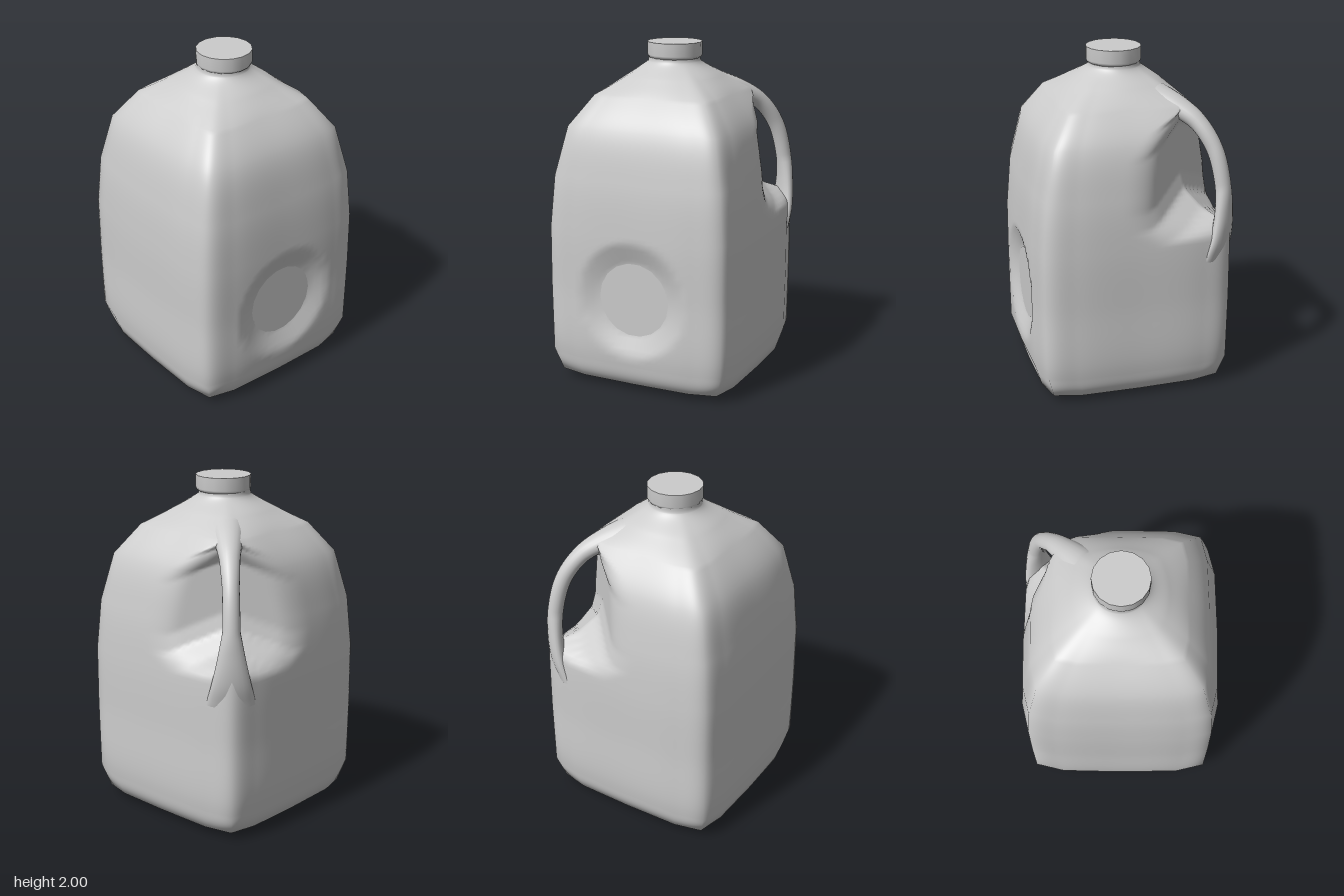
import * as THREE from 'three';

const S = Math.SQRT1_2;
const grey = () => new THREE.MeshStandardMaterial({ color: 0xcccccc });
const vec = ([x, y]) => new THREE.Vector3(x, y, 0);

// Skin a list of closed rings (arrays of Vector3) with smooth normals
function loft(rings) {
  const n = rings[0].length, pos = [], index = [];
  rings.forEach(r => r.forEach(v => pos.push(v.x, v.y, v.z)));
  for (let i = 0; i < rings.length - 1; i++) {
    for (let j = 0; j < n; j++) {
      const a = i * n + j, b = i * n + (j + 1) % n;
      index.push(a, a + n, b, b, a + n, b + n);
    }
  }
  const g = new THREE.BufferGeometry();
  g.setAttribute('position', new THREE.Float32BufferAttribute(pos, 3));
  g.setIndex(index);
  g.computeVertexNormals();
  return g;
}

// Subdivide each span of a point list, either straight or curved
function subdivide(pts, per, closed, curved) {
  const spans = closed ? pts.length : pts.length - 1;
  const curve = new THREE.CatmullRomCurve3(pts, closed);
  return Array.from({ length: spans * per + (closed ? 0 : 1) }, (_, i) => {
    if (curved) return curve.getPoint(i / (spans * per));
    const k = Math.floor(i / per);
    return pts[k].clone().lerp(pts[(k + 1) % pts.length], (i % per) / per);
  });
}

// Piecewise linear lookup in [key, value] pairs
function lookup(table, k) {
  if (k <= table[0][0]) return table[0][1];
  for (let i = 1; i < table.length; i++) {
    const [k0, v0] = table[i - 1], [k1, v1] = table[i];
    if (k <= k1) return v0 + (v1 - v0) * (k - k0) / (k1 - k0);
  }
  return table[table.length - 1][1];
}

// Smooth minimum
function softMin(a, b, k) {
  const h = Math.max(k - Math.abs(a - b), 0) / k;
  return Math.min(a, b) - h * h * k / 4;
}

// Greatest reach of the body towards the handle corner, by height
const GRIP = [[0.92, 1.0], [1.0, 0.84], [1.06, 0.7], [1.1, 0.59], [1.2, 0.47],
  [1.3, 0.44], [1.6, 0.43], [1.7, 0.48], [1.77, 0.75]];
const DISC = { y: 0.565, r: 0.22, x: 0.55 };

// Half width against height
const PROFILE = [[0.001, 0], [0.37, 0], [0.55, 0.042], [0.593, 0.18], [0.597, 0.6], [0.595, 0.95],
  [0.571, 1.25], [0.506, 1.535], [0.38, 1.71], [0.27, 1.802], [0.155, 1.885], [0.148, 1.93]].map(vec);

function bodyRings(curved) {
  // Rounded-square section with bevelled corners
  const corner = [[1, 0], [0.988, 0.62], [0.917, 0.917], [0.62, 0.988]];
  const pts = [];
  for (let q = 0; q < 4; q++) {
    for (const [x, z] of corner) {
      let p = [x, z];
      for (let k = 0; k < q; k++) p = [-p[1], p[0]];
      pts.push(new THREE.Vector3(p[0], 0, p[1]));
    }
  }
  const section = subdivide(pts, 10, true, curved);
  return subdivide(PROFILE, 14, false, curved).map(({ x: w, y }) => {
    const round = lookup([[1.71, 0], [1.885, 1]], y);
    return section.map(s => {
      const v = s.clone().lerp(s.clone().normalize(), round).multiplyScalar(w);
      v.y = y;
      // Hollow behind the handle, its floor falling away to both sides
      const d = -(v.x + v.z) * S, p = Math.abs(v.x - v.z) * S;
      if (d > 0.2) {
        const cut = d - softMin(d, lookup(GRIP, y + 0.4 * Math.min(p, 0.35)), 0.1);
        v.x += cut * S;
        v.z += cut * S;
      }
      // Round recess in the left side
      const r = Math.hypot(v.z, y - DISC.y);
      if (v.x > 0.4 && r < 0.38) {
        v.x = Math.min(v.x, lookup([[DISC.r, DISC.x - 0.002], [0.36, 0.6]], r));
      }
      return v;
    });
  });
}

// Straight spans in outline, shaded with the normals of the curved form
function bodyGeometry() {
  const g = loft(bodyRings(false));
  g.setAttribute('normal', loft(bodyRings(true)).getAttribute('normal'));
  return g;
}

function handleGeometry() {
  // Path in the diagonal plane: (distance from axis, height)
  const path = new THREE.CatmullRomCurve3([[0.28, 1.74], [0.42, 1.69], [0.55, 1.615],
    [0.66, 1.47], [0.717, 1.27], [0.728, 1.1], [0.715, 0.95], [0.68, 0.83]].map(vec));
  const out = new THREE.Vector3(-S, 0, -S), side = new THREE.Vector3(-S, 0, S);
  const rings = [];
  for (let i = 0; i <= 48; i++) {
    const t = i / 48, c = path.getPointAt(t), tan = path.getTangentAt(t);
    // The grip flares into the body at both ends
    const wide = lookup([[0, 0.1], [0.26, 0.058], [0.41, 0.048], [0.62, 0.05], [0.78, 0.085], [1, 0.14]], t);
    const deep = lookup([[0, 0.07], [0.27, 0.05], [0.73, 0.045], [1, 0.05]], t);
    const ring = [];
    for (let j = 0; j < 20; j++) {
      const a = j / 20 * Math.PI * 2, n = deep * Math.cos(a);
      const p = out.clone().multiplyScalar(c.x - tan.y * n).addScaledVector(side, wide * Math.sin(a));
      p.y = c.y + tan.x * n;
      ring.push(p);
    }
    rings.push(ring);
  }
  return loft(rings);
}

export function createModel() {
  const group = new THREE.Group();
  const add = (name, geometry) => {
    const mesh = new THREE.Mesh(geometry, grey());
    mesh.name = name;
    group.add(mesh);
    return mesh;
  };

  add('body', bodyGeometry());
  add('handle', handleGeometry());

  // Flat floor of the side recess
  const disc = add('sideRecess', new THREE.CircleGeometry(DISC.r, 18));
  disc.rotation.y = Math.PI / 2;
  disc.position.set(DISC.x + 0.001, DISC.y, 0);

  // Cap with a rounded lower lip and a flat top
  const skirt = [[0.146, 1.905], [0.157, 1.912], [0.162, 1.925], [0.162, 2]];
  const capSkirt = add('capSkirt', new THREE.LatheGeometry(skirt.map(p => new THREE.Vector2(...p)), 16));
  const capTop = add('capTop', new THREE.CircleGeometry(0.162, 16));
  capTop.rotation.x = -Math.PI / 2;
  capSkirt.position.set(0.005, 0, -0.005);
  capTop.position.set(0.005, 2, -0.005);

  return group;
}
